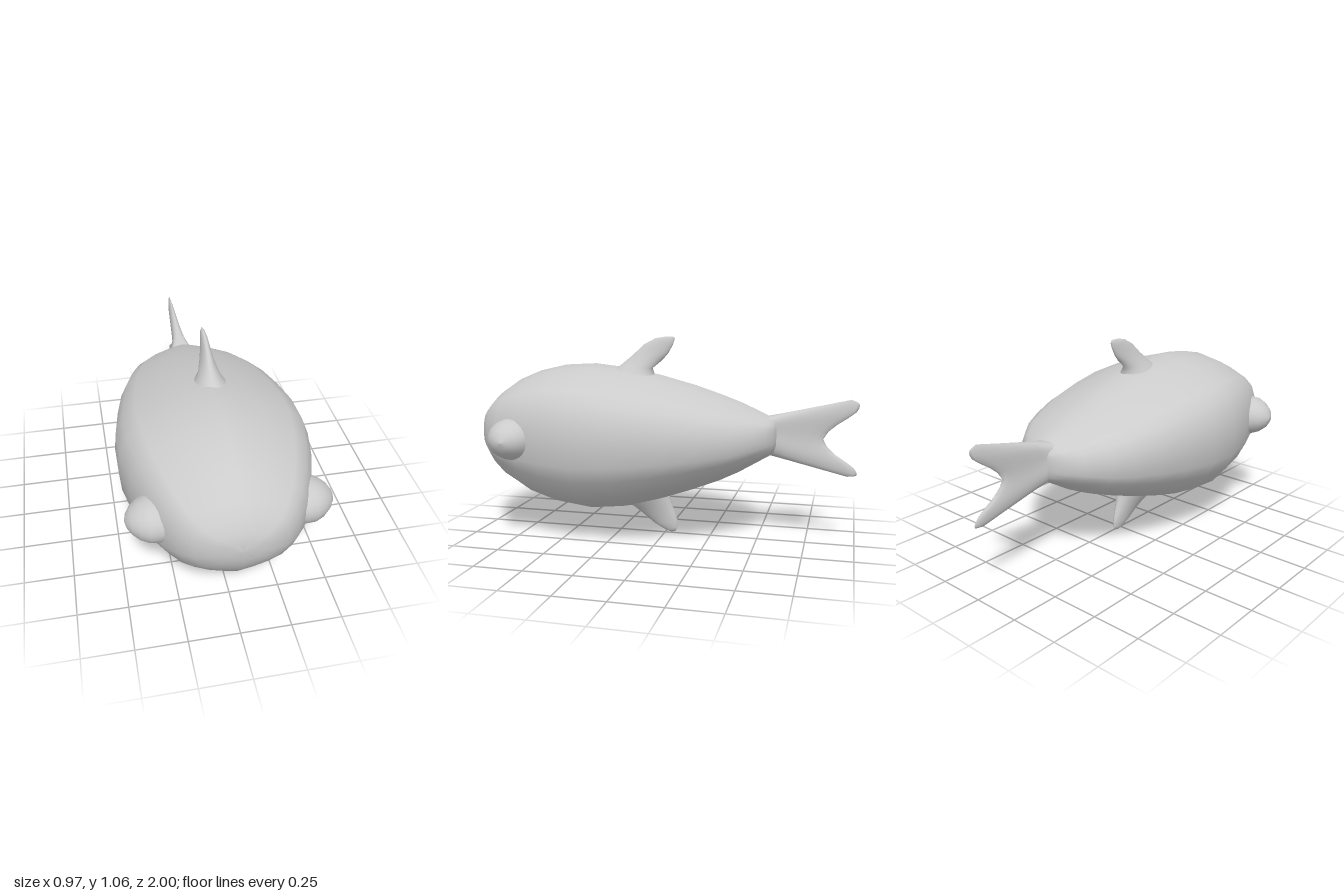
import * as THREE from 'three';
import { mergeVertices } from 'three/addons/utils/BufferGeometryUtils.js';

const material = new THREE.MeshStandardMaterial({ color: 0xcccccc });

// Skin a list of closed rings (arrays of [x, y, z]) with smooth normals.
function loft(rings) {
  const n = rings[0].length;
  const index = [];
  for (let i = 0; i < rings.length - 1; i++) {
    for (let j = 0; j < n; j++) {
      const a = i * n + j, b = i * n + (j + 1) % n;
      index.push(a, b, a + n, b, b + n, a + n);
    }
  }
  let geometry = new THREE.BufferGeometry();
  geometry.setAttribute('position', new THREE.Float32BufferAttribute(rings.flat(2), 3));
  geometry.setIndex(index);
  geometry = mergeVertices(geometry, 1e-4);
  geometry.computeVertexNormals();
  return geometry;
}

function addMesh(group, name, geometry) {
  const mesh = new THREE.Mesh(geometry, material);
  mesh.name = name;
  group.add(mesh);
  return mesh;
}

const curve = (points) =>
  new THREE.CatmullRomCurve3(points.map(([z, y]) => new THREE.Vector3(0, y, z)));

// Lens-shaped ring: pointAt(s) runs along the chord, w is the half thickness.
function lensRing(pointAt, w, x0, half = 14) {
  const ring = [];
  for (let j = 0; j < half * 2; j++) {
    const a = (j / half) * Math.PI;
    const p = pointAt((1 - Math.cos(a)) / 2);
    ring.push([x0 + w * Math.sin(a), p.y, p.z]);
  }
  return ring;
}

// Fin stations: [z, y of first edge, z, y of second edge, half thickness].
function finGeometry(stations, x0) {
  return loft(stations.map(([z0, y0, z1, y1, w]) => {
    const chord = new THREE.LineCurve3(new THREE.Vector3(0, y0, z0), new THREE.Vector3(0, y1, z1));
    return lensRing((s) => chord.getPoint(s), w, x0);
  }));
}

// Body: one normalised half section, scaled along z.
function bodyGeometry() {
  const half = [[0, 1], [0.22, 0.945], [0.45, 0.86], [0.76, 0.69], [0.9, 0.54], [0.98, 0.27], [1, 0],
    [0.98, -0.28], [0.9, -0.47], [0.73, -0.7], [0.48, -0.85], [0.24, -0.94], [0, -1]];
  const section = [...half, ...half.slice(1, -1).reverse().map(([u, v]) => [-u, v])];
  // z, half width, top, bottom
  const stations = [
    [1, 0, 0.55, 0.55], [0.992, 0.08, 0.61, 0.49], [0.98, 0.14, 0.65, 0.445],
    [0.95, 0.215, 0.705, 0.39], [0.9, 0.275, 0.765, 0.325], [0.82, 0.335, 0.82, 0.255],
    [0.7, 0.39, 0.87, 0.185], [0.55, 0.44, 0.905, 0.14], [0.38, 0.475, 0.915, 0.12],
    [0.2, 0.475, 0.895, 0.14], [0.02, 0.447, 0.86, 0.19], [-0.15, 0.41, 0.815, 0.25],
    [-0.3, 0.355, 0.765, 0.31], [-0.4, 0.305, 0.728, 0.36], [-0.5, 0.22, 0.685, 0.42],
    [-0.55, 0.155, 0.662, 0.45], [-0.58, 0.1, 0.645, 0.47], [-0.592, 0.05, 0.62, 0.5],
    [-0.595, 0, 0.555, 0.555],
  ];
  return loft(stations.map(([z, w, top, bottom]) => section.map(([u, v]) =>
    [u * w, 0.555 + (v > 0 ? v * (top - 0.555) : v * (0.555 - bottom)), z])));
}

// Tail: a fan from a straight root to a forked trailing edge.
function tailGeometry() {
  const root = curve([[-0.54, 0.658], [-0.54, 0.46]]);
  const trailing = curve([[-0.96, 0.757], [-0.998, 0.735], [-0.985, 0.695], [-0.89, 0.625],
    [-0.825, 0.55], [-0.885, 0.475], [-0.98, 0.41], [-0.998, 0.372], [-0.95, 0.362]]);
  const steps = [[0, 0.075], [0.1, 0.055], [0.22, 0.04], [0.45, 0.03], [0.7, 0.022],
    [0.88, 0.015], [0.97, 0.008], [1, 0]];
  return loft(steps.map(([t, w]) =>
    lensRing((s) => root.getPoint(s).lerp(trailing.getPoint(s), t), w, -0.01, 24)));
}

// Eye: a blunt cone-like dome pointing sideways.
function eyeGeometry() {
  const profile = [[0.85, 0.27], [1, 0.335], [0.98, 0.38], [0.82, 0.422], [0.56, 0.457],
    [0.28, 0.478], [0, 0.486]].map(([r, h]) => new THREE.Vector2(r, h));
  return new THREE.LatheGeometry(profile, 24);
}

export function createModel() {
  const group = new THREE.Group();
  group.name = 'fish';

  addMesh(group, 'body', bodyGeometry());
  addMesh(group, 'tailFin', tailGeometry());

  addMesh(group, 'dorsalFin', finGeometry([
    [0.29, 0.875, 0.05, 0.85, 0.085], [0.235, 0.912, 0.065, 0.895, 0.055],
    [0.17, 0.965, 0.01, 0.94, 0.034], [0.11, 1.02, -0.02, 0.975, 0.023],
    [0.05, 1.052, -0.043, 1.015, 0.016], [0, 1.061, -0.053, 1.043, 0.01],
    [-0.04, 1.062, -0.052, 1.058, 0]], 0.015));

  // Back edge first, as this fin points down
  addMesh(group, 'bellyFin', finGeometry([
    [-0.02, 0.22, 0.23, 0.17, 0.085], [-0.03, 0.175, 0.17, 0.13, 0.055],
    [-0.052, 0.115, 0.11, 0.085, 0.033], [-0.066, 0.07, 0.06, 0.045, 0.023],
    [-0.066, 0.03, 0, 0.013, 0.013], [-0.056, 0.008, -0.035, 0.002, 0]], -0.012));

  for (const [name, side, y] of [['leftEye', 1, 0.547], ['rightEye', -1, 0.557]]) {
    const eye = addMesh(group, name, eyeGeometry());
    eye.scale.set(0.106, 1, 0.125);
    eye.rotation.z = -side * Math.PI / 2;
    eye.position.set(0, y, 0.72);
  }
  return group;
}
